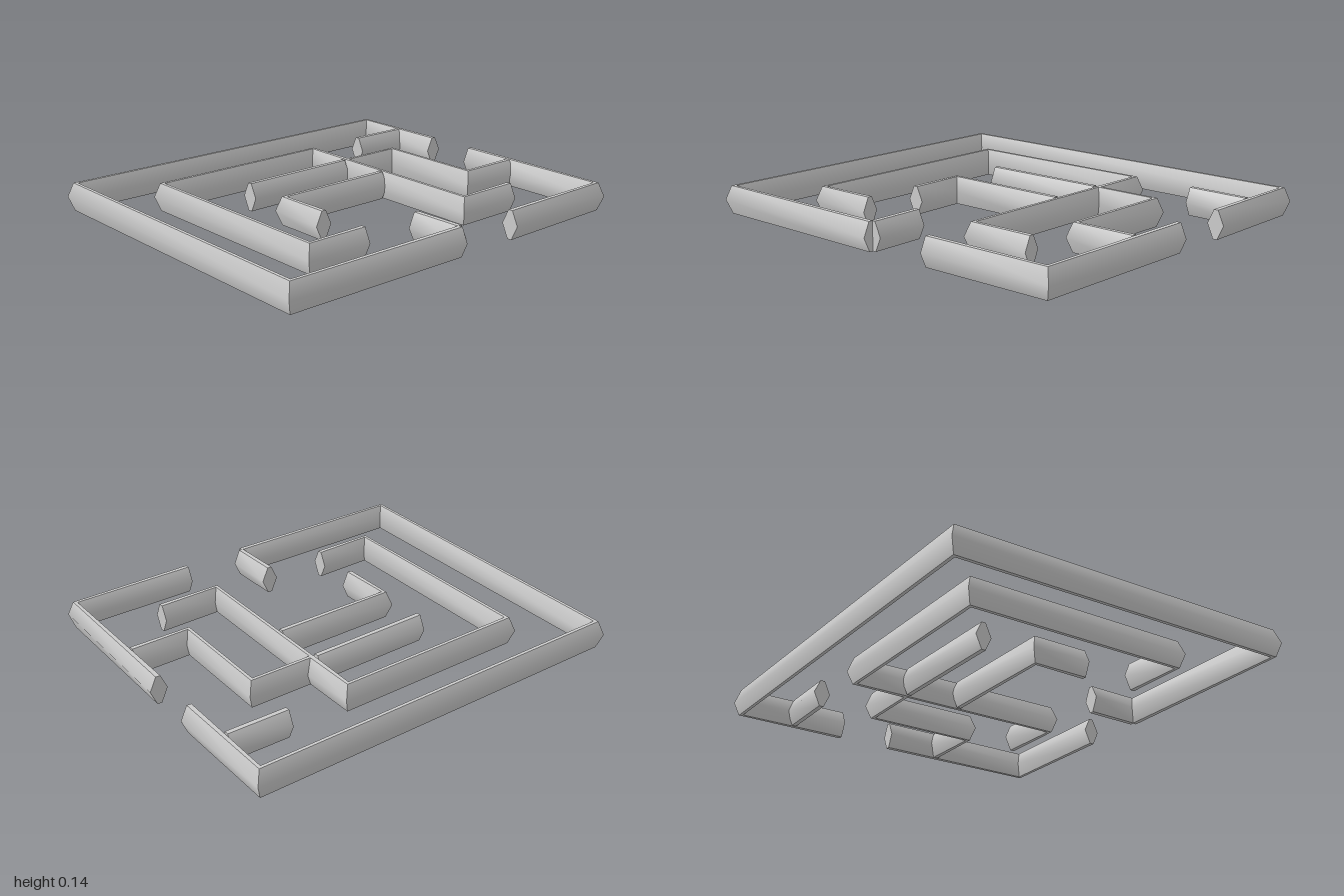
import * as THREE from 'three';
import { toCreasedNormals } from 'three/addons/utils/BufferGeometryUtils.js';

const HEIGHT = 0.135;
// Hexagonal wall section [side, height], widest at mid-height
const PROFILE = [
  [-0.011, 0], [0.011, 0], [0.042, HEIGHT / 2],
  [0.011, HEIGHT], [-0.011, HEIGHT], [-0.042, HEIGHT / 2],
];

// Wall centre lines on the ground as [x, z]
const WALLS = {
  outerWall: [[-0.3, -0.955], [-0.84, -0.97], [-0.806, 0.907], [0.835, 0.962], [0.82, 0.03]],
  outerCornerWall: [[-0.03, -0.945], [0.794, -0.918], [0.81, -0.296]],
  rightSpur: [[0.553, 0.025], [0.812, 0.025]],
  backSpur: [[-0.566, -0.945], [-0.566, -0.65]],
  steppedWall: [[0.25, -0.92], [0.257, -0.622], [-0.288, -0.64], [-0.283, -0.323], [0.537, -0.296], [0.527, -0.61]],
  innerWall: [[-0.285, -0.325], [-0.556, -0.333], [-0.534, 0.606], [0.561, 0.635], [0.551, 0.333]],
  middleSpur: [[-0.285, -0.3], [-0.265, 0.302]],
  hookWall: [[-0.008, -0.295], [0.006, 0.314], [0.28, 0.317]],
};

// Sweep the section along a polyline, turning it halfway at each corner
function wallGeometry(path) {
  const pts = path.map(([x, z]) => new THREE.Vector3(x, 0, z));
  const up = new THREE.Vector3(0, 1, 0);
  const last = pts.length - 1;
  const n = PROFILE.length;
  const direction = (i) => pts[i + 1].clone().sub(pts[i]).normalize();

  const rings = pts.map((p, i) => {
    const tangent = new THREE.Vector3();
    if (i > 0) tangent.add(direction(i - 1));
    if (i < last) tangent.add(direction(i));
    const side = tangent.normalize().cross(up);
    return PROFILE.map(([s, y]) => p.clone().addScaledVector(side, s).setY(y));
  });

  const tris = [];
  for (let i = 0; i < last; i++) {
    for (let j = 0; j < n; j++) {
      const k = (j + 1) % n;
      const [a, b, c, d] = [rings[i][j], rings[i][k], rings[i + 1][j], rings[i + 1][k]];
      tris.push(a, c, b, b, c, d);
    }
  }
  // End caps
  for (let j = 1; j < n - 1; j++) {
    tris.push(rings[0][0], rings[0][j], rings[0][j + 1]);
    tris.push(rings[last][0], rings[last][j + 1], rings[last][j]);
  }
  const geometry = new THREE.BufferGeometry().setFromPoints(tris);
  return toCreasedNormals(geometry, 1.0);
}

export function createModel() {
  const group = new THREE.Group();
  group.name = 'maze';
  const material = new THREE.MeshStandardMaterial({ color: 0xcccccc });
  for (const [name, path] of Object.entries(WALLS)) {
    const wall = new THREE.Mesh(wallGeometry(path), material);
    wall.name = name;
    group.add(wall);
  }
  return group;
}
